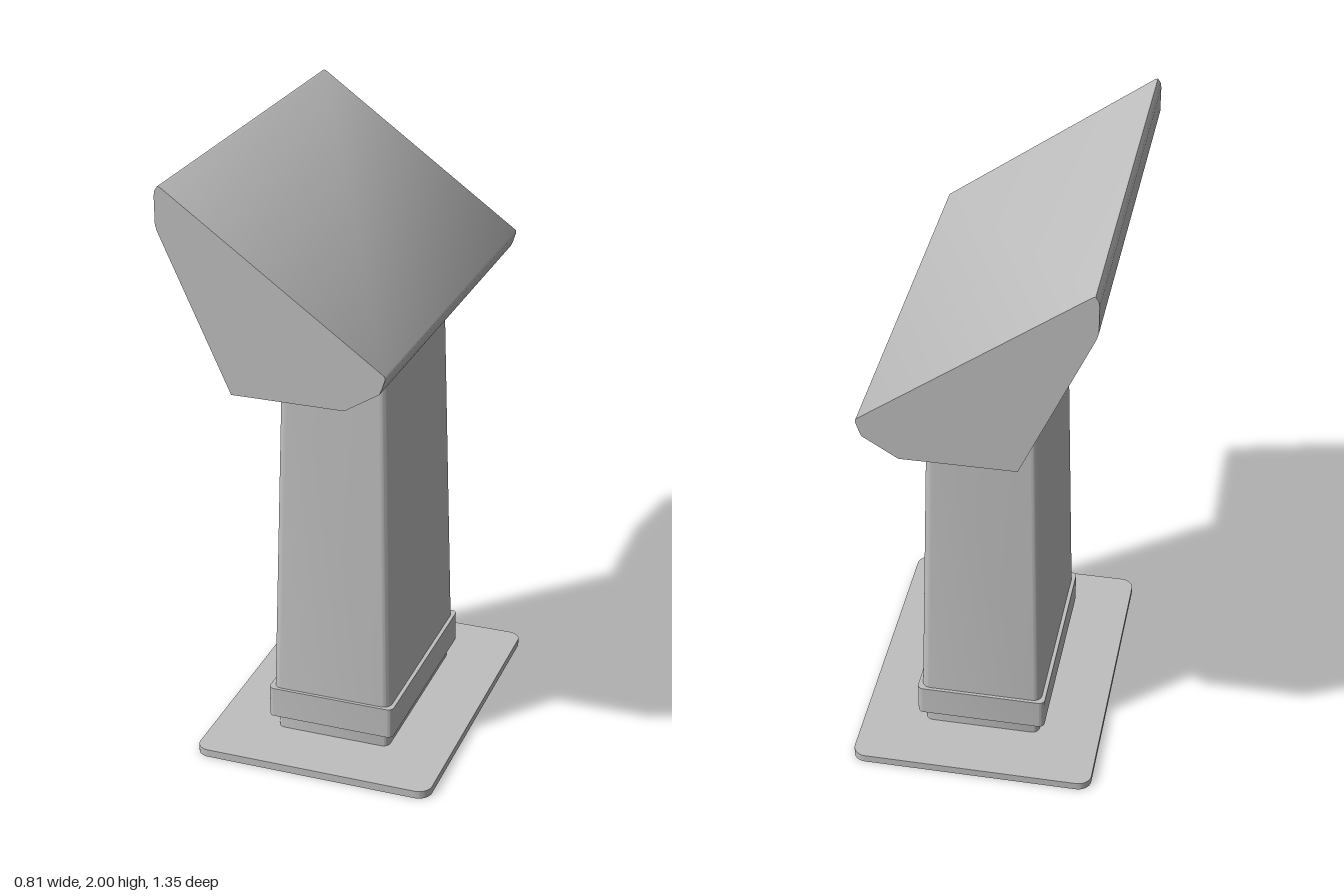
import * as THREE from 'three';
import { toCreasedNormals } from 'three/addons/utils/BufferGeometryUtils.js';

const grey = new THREE.MeshStandardMaterial({ color: 0xbfbfbf, side: THREE.DoubleSide });
grey.name = 'grey';

// Rounded rectangle in plan, raised from y0 to y1 and tapered to a smaller top
function roundedBlock(name, hx, hz, y0, y1, r, topX = 1, topZ = 1) {
  const s = new THREE.Shape();
  s.moveTo(hx, -hz + r);
  s.lineTo(hx, hz - r);
  s.absarc(hx - r, hz - r, r, 0, Math.PI / 2);
  s.absarc(-hx + r, hz - r, r, Math.PI / 2, Math.PI);
  s.absarc(-hx + r, -hz + r, r, Math.PI, Math.PI * 1.5);
  s.absarc(hx - r, -hz + r, r, Math.PI * 1.5, Math.PI * 2);
  const h = y1 - y0;
  const g = new THREE.ExtrudeGeometry(s, { depth: h, bevelEnabled: false, curveSegments: 6 });
  g.rotateX(-Math.PI / 2);
  const p = g.attributes.position;
  for (let i = 0; i < p.count; i++) {
    const t = p.getY(i) / h;
    p.setX(i, p.getX(i) * (1 + (topX - 1) * t));
    p.setZ(i, p.getZ(i) * (1 + (topZ - 1) * t));
  }
  g.translate(0, y0, 0);
  const m = new THREE.Mesh(toCreasedNormals(g, 0.7), grey);
  m.name = name;
  return m;
}

// Sloping head: a folded sheet, open underneath, closed by two end panels
function lecternHead() {
  const half = 0.677;
  const profile = [
    [0.175, 1.38], [0.283, 1.447], [0.291, 1.465], [0.301, 1.497], [0.299, 1.506],
    [-0.385, 1.998], [-0.393, 2.0], [-0.402, 1.987], [-0.405, 1.97],
    [-0.405, 1.885], [-0.4, 1.865], [-0.18, 1.38],
  ];
  const pos = [];
  for (let i = 0; i < profile.length - 1; i++) {
    const a = [...profile[i], half], b = [...profile[i + 1], half];
    const c = [...profile[i + 1], -half], d = [...profile[i], -half];
    pos.push(...a, ...d, ...c, ...a, ...c, ...b);
  }
  const sheet = new THREE.BufferGeometry();
  sheet.setAttribute('position', new THREE.Float32BufferAttribute(pos, 3));
  const shell = new THREE.Mesh(toCreasedNormals(sheet, 0.85), grey);
  shell.name = 'headShell';

  const head = new THREE.Group();
  head.name = 'head';
  head.add(shell);
  const outline = new THREE.Shape(profile.map(([x, y]) => new THREE.Vector2(x, y)));
  for (const side of [1, -1]) {
    const g = new THREE.ExtrudeGeometry(outline, { depth: 0.004, bevelEnabled: false });
    g.translate(0, 0, side > 0 ? half - 0.004 : -half);
    const panel = new THREE.Mesh(g, grey);
    panel.name = side > 0 ? 'frontEndPanel' : 'backEndPanel';
    head.add(panel);
  }
  return head;
}

export function createModel() {
  const model = new THREE.Group();
  model.name = 'lectern';
  model.add(
    roundedBlock('basePlate', 0.403, 0.542, 0, 0.026, 0.045),
    roundedBlock('plinth', 0.195, 0.327, 0.026, 0.08, 0.025),
    roundedBlock('collar', 0.217, 0.353, 0.08, 0.185, 0.02),
    roundedBlock('column', 0.204, 0.342, 0.185, 1.385, 0.03, 0.86, 0.88),
    lecternHead(),
  );
  return model;
}
